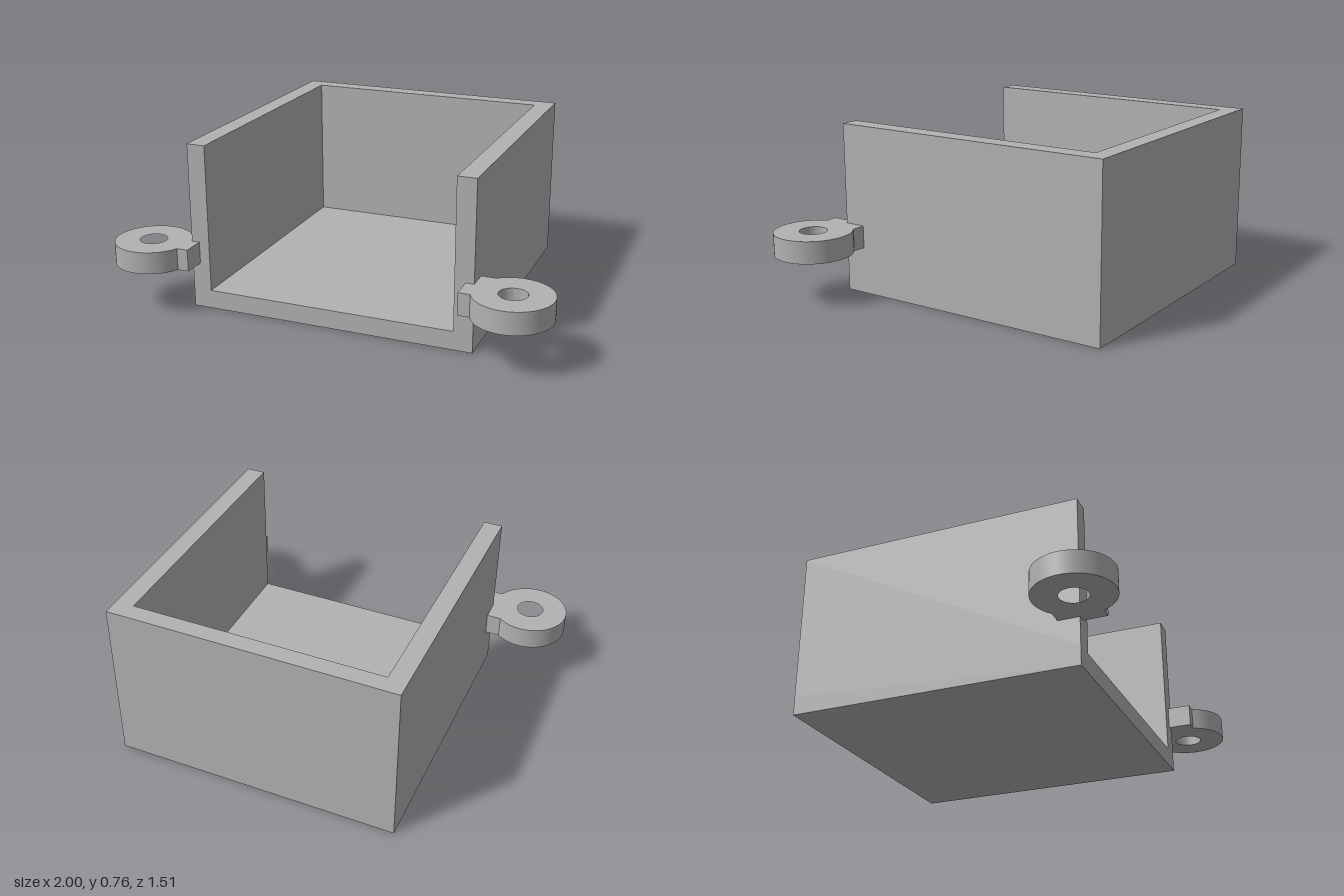
import * as THREE from 'three';
import { toCreasedNormals } from 'three/addons/utils/BufferGeometryUtils.js';

const grey = new THREE.MeshStandardMaterial({ color: 0xb2b2b2 });
grey.name = 'light grey';

// Extrudes a plan outline (x, -z) upward from y0 to y1
function slab(name, shape, y0, y1) {
  const geo = new THREE.ExtrudeGeometry(shape, { depth: y1 - y0, bevelEnabled: false, curveSegments: 24 });
  geo.rotateX(-Math.PI / 2);
  geo.translate(0, y0, 0);
  const mesh = new THREE.Mesh(toCreasedNormals(geo, 0.5), grey);
  mesh.name = name;
  return mesh;
}

const outline = (pts) => new THREE.Shape(pts.map(([x, z]) => new THREE.Vector2(x, -z)));

// Ring with a square tab that sinks into the side wall; side is +1 (left) or -1 (right)
function mountingEar(side) {
  const r = 0.172, tabX = -0.21, tabBack = 0.133, tabFront = -0.067;
  const start = -Math.PI - Math.asin(tabFront / r);
  const end = Math.PI - Math.asin(tabBack / r);
  const pts = [];
  for (let i = 0; i <= 56; i++) {
    const a = start + (end - start) * i / 56;
    pts.push(new THREE.Vector2(side * r * Math.cos(a), r * Math.sin(a)));
  }
  pts.push(new THREE.Vector2(side * tabX, tabBack), new THREE.Vector2(side * tabX, tabFront));
  const shape = new THREE.Shape(pts);
  shape.holes.push(new THREE.Path().absarc(0, 0, 0.061, 0, Math.PI * 2, true));
  const ear = slab(side > 0 ? 'leftMountingEar' : 'rightMountingEar', shape, 0.21, 0.31);
  ear.position.set(side * 0.828, 0, 0.583);
  return ear;
}

export function createModel() {
  const group = new THREE.Group();
  group.name = 'openTray';
  const w = 0.655, iw = 0.57, back = -0.76, iback = -0.68, front = 0.545, floorTop = 0.085;

  // Floor plate
  group.add(slab('floor', outline([[-w, front], [w, front], [w, back], [-w, back]]), 0, floorTop));

  // Side and back walls as one U, open at the front and top
  group.add(slab('walls', outline([
    [-w, front], [-iw, front], [-iw, iback], [iw, iback],
    [iw, front], [w, front], [w, back], [-w, back],
  ]), floorTop, 0.76));

  // Screw ears at the front corners
  for (const side of [1, -1]) group.add(mountingEar(side));
  return group;
}
